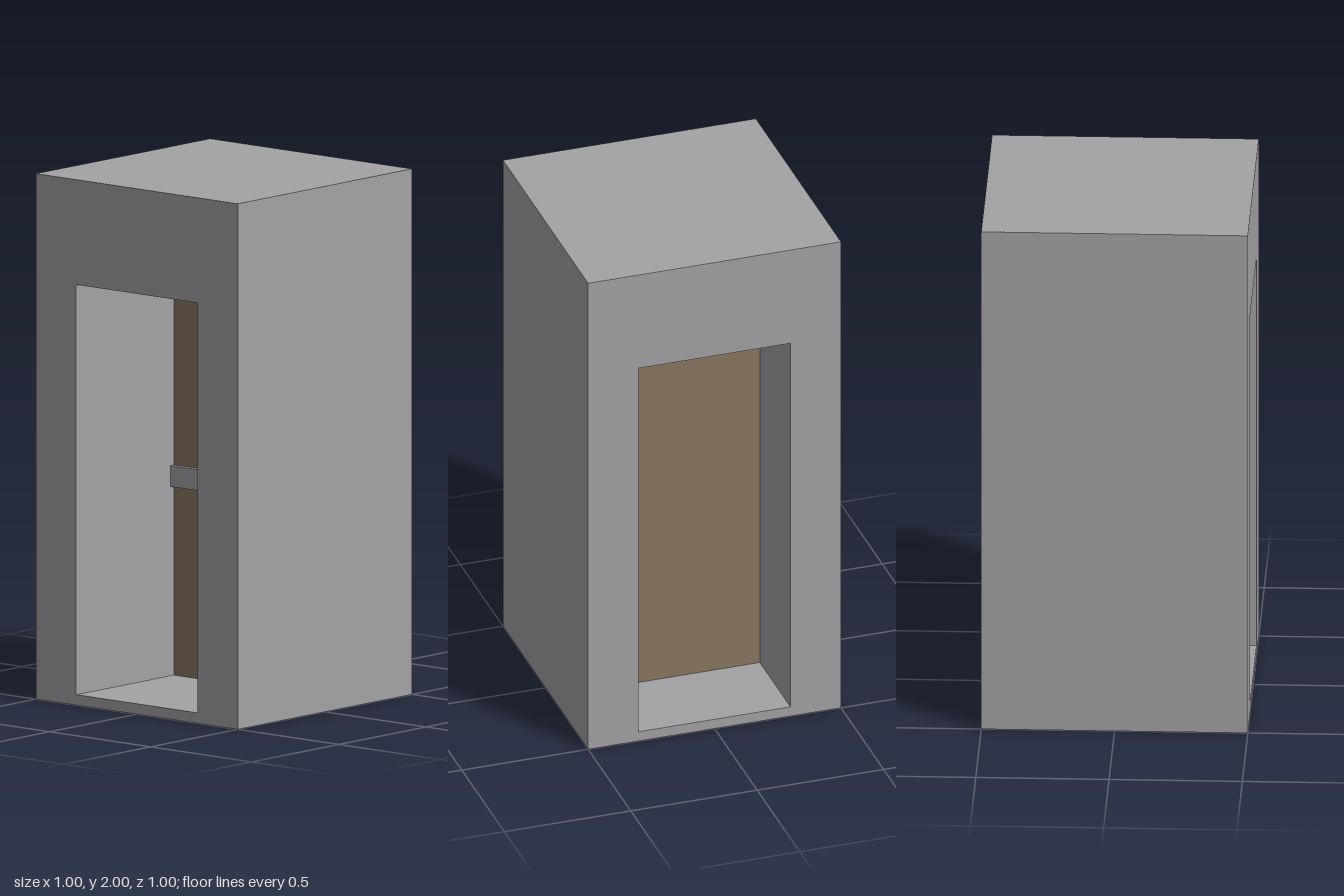
import * as THREE from 'three';

export function createModel() {
  const model = new THREE.Group();
  const stone = new THREE.MeshStandardMaterial({ color: 0xa3a2a5 });
  stone.name = 'stone grey';
  const wood = new THREE.MeshStandardMaterial({ color: 0x8a7861 });
  wood.name = 'door brown';

  const add = (name, geometry, material, x, y, z) => {
    const mesh = new THREE.Mesh(geometry, material);
    mesh.name = name;
    mesh.position.set(x, y, z);
    model.add(mesh);
  };
  const rectangle = (path, x, y0, y1) =>
    path.moveTo(-x, y0).lineTo(x, y0).lineTo(x, y1).lineTo(-x, y1).closePath();

  // Tall block with a doorway running right through it
  const outline = rectangle(new THREE.Shape(), 0.5, 0, 2);
  outline.holes.push(rectangle(new THREE.Path(), 0.3, 0.04, 1.6));
  const block = new THREE.ExtrudeGeometry(outline, { depth: 1, bevelEnabled: false });
  add('doorwayBlock', block, stone, 0, 0, -0.5);

  // Door slab, a little behind the middle of the passage, sunk into the sill
  add('door', new THREE.BoxGeometry(0.6, 1.58, 0.08), wood, 0, 0.81, -0.1);

  // Push bar across the front of the door
  add('pushBar', new THREE.BoxGeometry(0.6, 0.08, 0.03), stone, 0, 0.8, -0.055);

  return model;
}
// Path drawing methods return the path, so rectangle() hands back its outline
